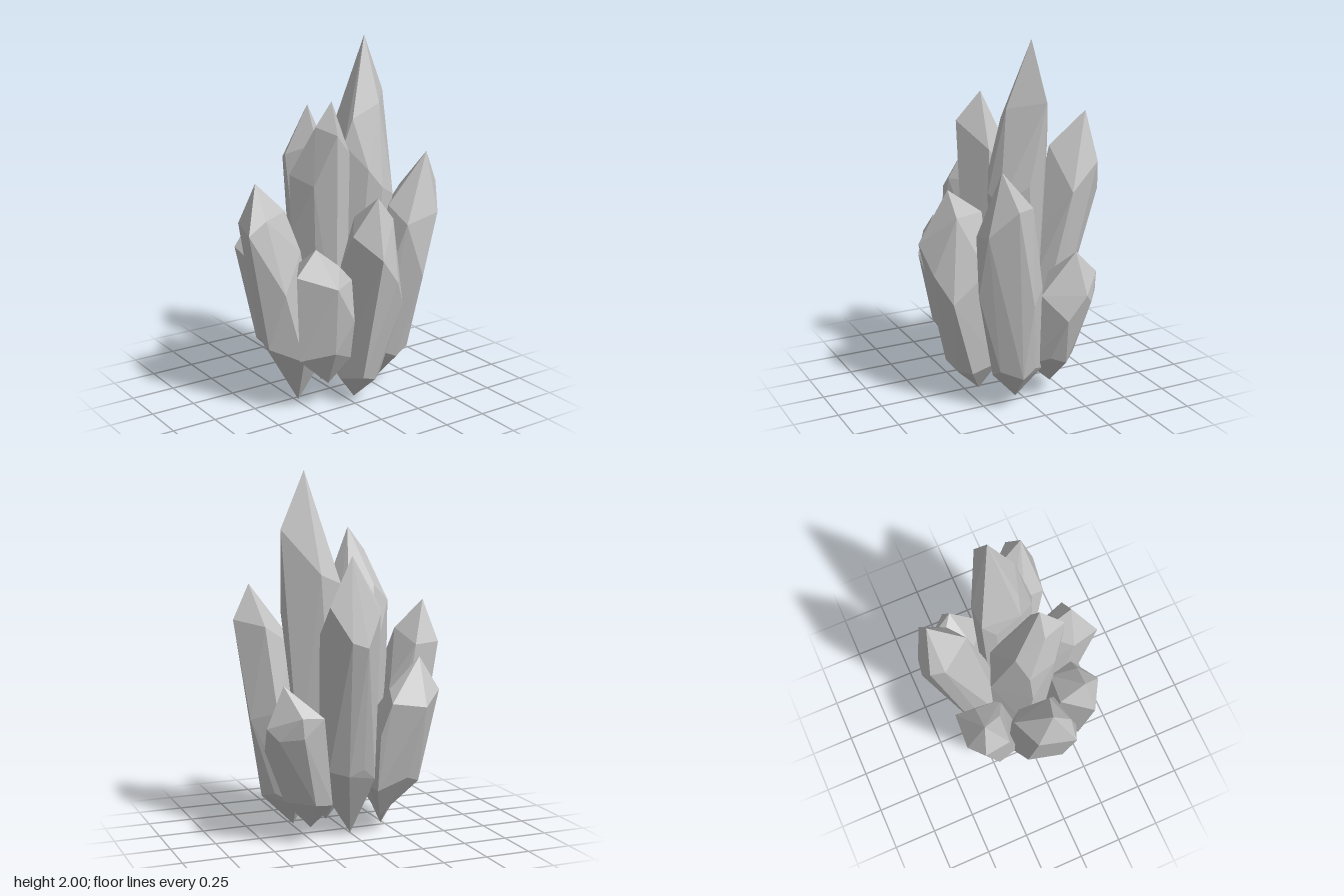
import * as THREE from 'three';
import { ConvexGeometry } from 'three/addons/geometries/ConvexGeometry.js';

const stone = new THREE.MeshStandardMaterial({ color: 0xc4c4c4, flatShading: true });
stone.name = 'grey crystal';

// One faceted crystal: a tip, an irregular ring of shoulder corners, a lower
// belt that repeats the shoulder's outline, and a pointed foot.
// rise: belt height along the axis, girth: belt size against the shoulder,
// lift: how much the belt climbs towards the outside of the cluster.
function crystal(name, tip, foot, { rise, girth, lift }, shoulder) {
  const top = new THREE.Vector3(...tip);
  const root = new THREE.Vector3(...foot);
  const corners = shoulder.map((p) => new THREE.Vector3(...p));
  const centre = new THREE.Vector3();
  corners.forEach((p) => centre.addScaledVector(p, 1 / corners.length));
  const low = root.clone().lerp(centre, rise);
  const outward = new THREE.Vector3(centre.x, 0, centre.z).normalize();

  const belt = corners.map((p, i) => {
    const q = p.clone().sub(centre).multiplyScalar(girth);
    q.y = lift * q.dot(outward) + (i % 2 ? 0.02 : -0.02);
    return q.add(low);
  });

  const mesh = new THREE.Mesh(new ConvexGeometry([top, root, ...corners, ...belt]), stone);
  mesh.name = name;
  return mesh;
}

export function createModel() {
  const group = new THREE.Group();
  group.name = 'crystalCluster';

  group.add(
    // Two tall crystals in the middle
    crystal('tallestCrystal', [0.245, 2, -0.035], [0.1, 0.12, 0.02], { rise: 0.24, girth: 0.85, lift: 0 }, [
      [0.385, 1.69, -0.055], [0.245, 1.65, 0.11], [0.1, 1.57, 0.07], [0.05, 1.43, 0.06], [0.05, 1.3, -0.08],
      [0.08, 1.4, -0.15], [0.195, 1.45, -0.16], [0.36, 1.25, 0.03], [0.21, 1.2, 0.2], [0.3, 1.15, 0.17], [0.14, 1.3, 0.165]]),
    crystal('middleCrystal', [-0.065, 1.69, 0.11], [-0.08, 0.12, 0.02], { rise: 0.24, girth: 0.85, lift: 0 }, [
      [-0.11, 1.53, 0.235], [-0.16, 1.56, 0.1], [-0.15, 1.38, -0.06], [-0.25, 1.29, -0.02], [-0.255, 0.97, 0],
      [-0.1, 0.97, -0.185], [0.03, 1.13, -0.13], [0.05, 1.2, -0.04], [0.05, 1.39, 0.115], [-0.2, 1.25, 0.145],
      [-0.1, 1, 0.21]]),

    // Front crystals
    crystal('frontCrystal', [0.06, 1.2, 0.365], [0.04, 0.01, 0.18], { rise: 0.19, girth: 0.8, lift: 0 }, [
      [-0.075, 1, 0.33], [-0.006, 0.9, 0.51], [0.117, 0.75, 0.475], [0.165, 1.07, 0.36], [0.205, 0.6, 0.4],
      [0.2, 0.75, 0.2], [0.05, 1.05, 0.16], [-0.05, 0.8, 0.18]]),
    crystal('frontRightCrystal', [-0.29, 0.96, 0.3], [-0.16, 0.15, 0.22], { rise: 0.3, girth: 0.9, lift: 0.15 }, [
      [-0.415, 0.83, 0.31], [-0.23, 0.76, 0.42], [-0.1, 0.55, 0.385], [-0.155, 0.85, 0.32], [-0.075, 0.76, 0.32],
      [-0.12, 0.8, 0.17], [-0.3, 0.85, 0.15]]),
    crystal('frontLeftCrystal', [0.47, 1.38, 0.245], [0.28, 0.04, 0.07], { rise: 0.2, girth: 0.8, lift: 0.1 }, [
      [0.575, 1.19, 0.2], [0.49, 1.05, 0.33], [0.39, 0.7, 0.34], [0.3, 1.0, 0.31], [0.22, 0.65, 0.22],
      [0.265, 1.09, 0.18], [0.27, 1.05, 0.12], [0.44, 1.16, 0.05], [0.4, 0.7, -0.03], [0.52, 0.65, 0.08]]),

    // Side crystals
    crystal('rightCrystal', [-0.48, 1.28, 0.01], [-0.235, 0, 0.03], { rise: 0.31, girth: 1, lift: 0.5 }, [
      [-0.58, 1.03, 0.11], [-0.48, 1.1, 0.12], [-0.415, 0.7, 0.2], [-0.33, 1.12, 0.06], [-0.27, 0.9, 0.12],
      [-0.245, 0.85, -0.08], [-0.36, 1.05, -0.16], [-0.53, 1.05, -0.09]]),
    crystal('leftCrystal', [0.43, 0.88, -0.215], [0.26, 0.08, -0.155], { rise: 0.3, girth: 0.85, lift: 0.1 }, [
      [0.255, 0.72, -0.36], [0.38, 0.73, -0.37], [0.37, 0.62, -0.37], [0.48, 0.6, -0.285], [0.53, 0.66, -0.23],
      [0.51, 0.52, -0.13], [0.4, 0.65, -0.025], [0.24, 0.72, -0.15]]),

    // Back crystals
    crystal('backCrystal', [0.13, 1.57, -0.43], [0.01, 0.01, -0.11], { rise: 0.28, girth: 0.95, lift: 0.5 }, [
      [-0.006, 1.27, -0.485], [0.07, 1.1, -0.513], [0.155, 1.13, -0.5], [0.255, 1.31, -0.44], [0.255, 1.15, -0.29],
      [0.07, 1.38, -0.24], [-0.035, 1.3, -0.41], [-0.06, 0.85, -0.27], [0.1, 0.9, -0.15]]),
    crystal('backRightCrystal', [-0.31, 1.01, -0.31], [-0.15, 0.1, -0.15], { rise: 0.3, girth: 0.88, lift: 0.2 }, [
      [-0.41, 0.83, -0.35], [-0.305, 0.75, -0.42], [-0.11, 0.78, -0.41], [-0.065, 0.6, -0.36], [-0.14, 0.84, -0.3],
      [-0.09, 0.65, -0.12], [-0.23, 0.83, -0.19], [-0.37, 0.75, -0.19]])
  );
  return group;
}
